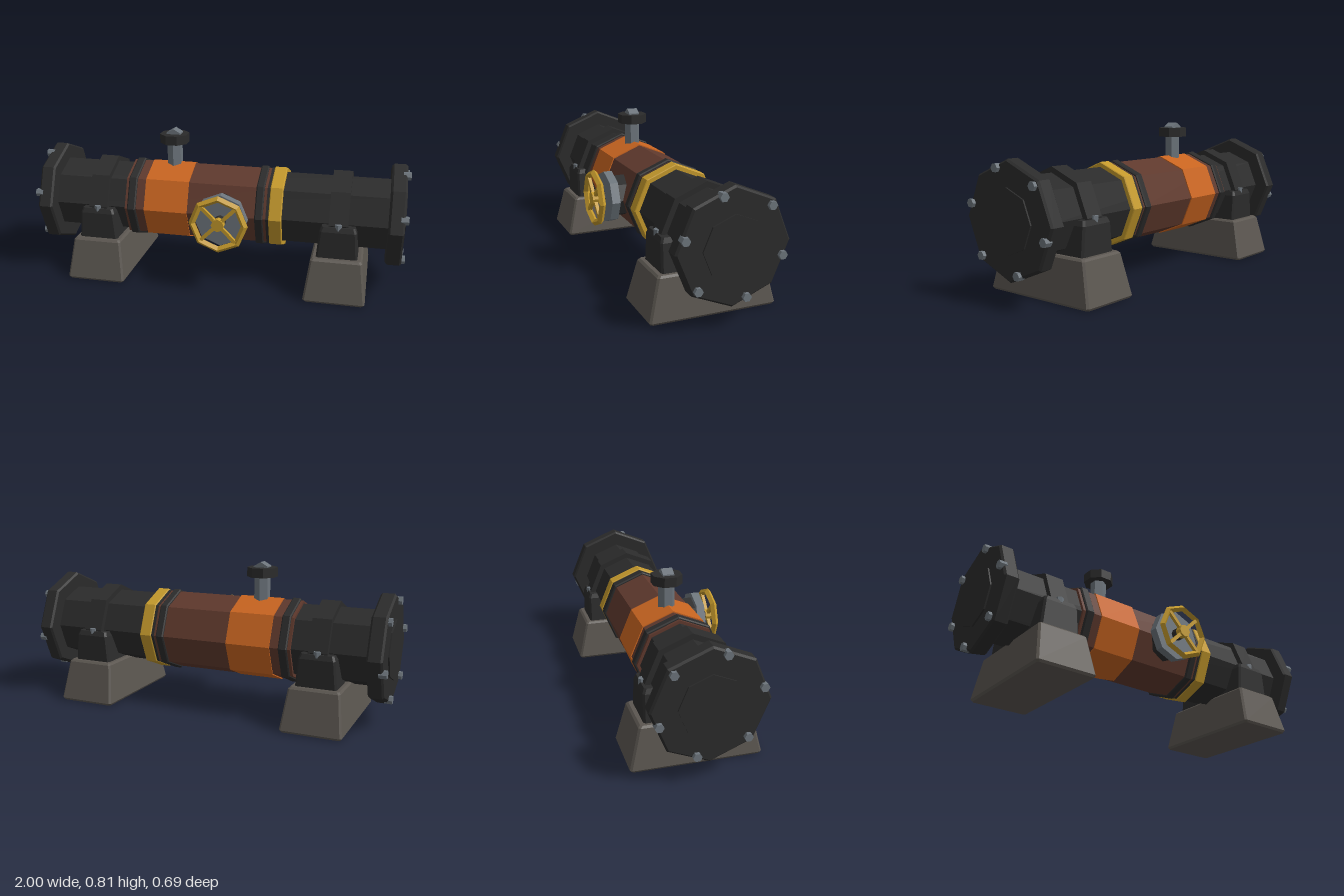
import * as THREE from 'three';
import { ConvexGeometry } from 'three/addons/geometries/ConvexGeometry.js';

const AXIS_Y = 0.4, AXIS_Z = -0.012;

export function createModel() {
  const mat = (name, color) => {
    const m = new THREE.MeshStandardMaterial({ color });
    m.name = name;
    return m;
  };
  const iron = mat('black iron', 0x2b2b2b);
  const rust = mat('rusty brown', 0x5f392d);
  const orange = mat('orange paint', 0xc86420);
  const gold = mat('brass yellow', 0xc4992c);
  const stone = mat('stone grey', 0x5b5650);
  const steel = mat('steel', 0x6c747b);

  const model = new THREE.Group();
  model.name = 'pipeValve';

  // Facet a geometry, then add it as a named mesh
  function add(parent, name, geo, material, x = 0, y = 0, z = 0) {
    const g = geo.index ? geo.toNonIndexed() : geo;
    g.computeVertexNormals();
    const mesh = new THREE.Mesh(g, material);
    mesh.name = name;
    mesh.position.set(x, y, z);
    parent.add(mesh);
    return mesh;
  }

  // Octagonal section along the pipe from x0 to x1 with small chamfers
  function section(name, x0, x1, r, material, bevel = 0) {
    const points = [[0, x0], [r - bevel, x0], [r, x0 + bevel], [r, x1 - bevel], [r - bevel, x1], [0, x1]]
      .filter((p, i) => bevel > 0 || (i !== 2 && i !== 3))
      .map(([a, b]) => new THREE.Vector2(a, b));
    const geo = new THREE.LatheGeometry(points, 8).rotateZ(-Math.PI / 2);
    return add(model, name, geo, material, 0, AXIS_Y, AXIS_Z);
  }

  // Chamfered block built from levels of [y, half width, half depth]
  function block(levels, cut) {
    const points = [];
    for (const [y, w, d] of levels)
      for (const sx of [-1, 1])
        for (const sz of [-1, 1])
          points.push(
            new THREE.Vector3(sx * (w - cut), y, sz * d),
            new THREE.Vector3(sx * w, y, sz * (d - cut)));
    return new ConvexGeometry(points);
  }

  // Pipe and its painted central body
  section('pipe', -0.92, 0.92, 0.2, iron);
  section('body', -0.505, 0.28, 0.216, rust);
  section('orangeBand', -0.395, -0.155, 0.222, orange);
  section('leftRing', 0.213, 0.257, 0.228, iron, 0.006);
  section('rightRing', -0.49, -0.443, 0.228, iron, 0.006);
  section('thinCollar', 0.272, 0.287, 0.22, iron);
  section('brassBand', 0.287, 0.355, 0.226, gold, 0.004);

  for (const side of [-1, 1]) {
    // End flange with raised cover and six bolts
    const span = (a, b) => side > 0 ? [a, b] : [-b, -a];
    section('flange', ...span(0.902, 0.982), 0.285, iron, 0.01);
    section('endCover', ...span(0.975, 0.99), 0.157, iron);
    for (let i = 0; i < 6; i++) {
      const a = Math.PI * (15 + 60 * i) / 180;
      const bolt = new THREE.CylinderGeometry(0.022, 0.022, 0.04, 6).rotateZ(Math.PI / 2);
      add(model, 'flangeBolt', bolt, steel, side * 0.98,
        AXIS_Y + 0.25 * Math.sin(a), AXIS_Z + 0.25 * Math.cos(a));
    }

    // Support: strap, saddle and sloping foot
    const x = side * 0.653;
    section('strap', x - 0.05, x + 0.05, 0.23, iron);
    add(model, 'saddle', block([
      [0.2, 0.11, 0.25], [0.37, 0.095, 0.25], [0.395, 0.085, 0.24],
    ], 0.01), iron, x, 0, AXIS_Z);
    add(model, 'foot', block([
      [0, 0.153, 0.322], [0.012, 0.161, 0.33], [0.217, 0.134, 0.281], [0.227, 0.124, 0.27],
    ], 0.01), stone, x, 0, AXIS_Z);
    for (const s of [-1, 1])
      add(model, 'saddleBolt', new THREE.CylinderGeometry(0.02, 0.02, 0.03, 6), steel,
        x, 0.395, AXIS_Z + s * 0.228);
  }

  // Front valve: neck, steel plate, shaft
  const valve = new THREE.Group();
  valve.name = 'frontValve';
  valve.position.set(0.045, AXIS_Y, 0);
  model.add(valve);
  const disc = (r, length) => new THREE.CylinderGeometry(r, r, length, 8).rotateX(Math.PI / 2);
  add(valve, 'neck', disc(0.113, 0.13), iron, 0, 0, 0.165);
  add(valve, 'plate', disc(0.14, 0.045), steel, 0, 0, 0.249);
  add(valve, 'shaft', disc(0.032, 0.07), iron, 0, 0, 0.29);

  // Hand wheel with crossed spokes
  add(valve, 'wheelRim', new THREE.TorusGeometry(0.139, 0.018, 4, 8), gold, 0, 0, 0.326);
  add(valve, 'wheelHub', disc(0.034, 0.036), gold, 0, 0, 0.326);
  for (const a of [-1, 1])
    add(valve, 'spokes', new THREE.BoxGeometry(0.018, 0.27, 0.018).rotateZ(a * Math.PI / 4),
      gold, 0, 0, 0.326);

  // Top stem with octagonal knob and nut
  const stem = new THREE.Group();
  stem.name = 'topValve';
  stem.position.set(-0.273, 0, AXIS_Z);
  model.add(stem);
  add(stem, 'stem', new THREE.CylinderGeometry(0.043, 0.043, 0.17, 6), steel, 0, 0.65, 0);
  add(stem, 'knob', new THREE.CylinderGeometry(0.081, 0.081, 0.05, 8).rotateY(Math.PI / 8),
    iron, 0, 0.755, 0);
  const nut = new THREE.CylinderGeometry(0.045, 0.045, 0.058, 6).rotateX(Math.PI / 2);
  add(stem, 'nut', nut, steel, 0, 0.764, 0);

  return model;
}
